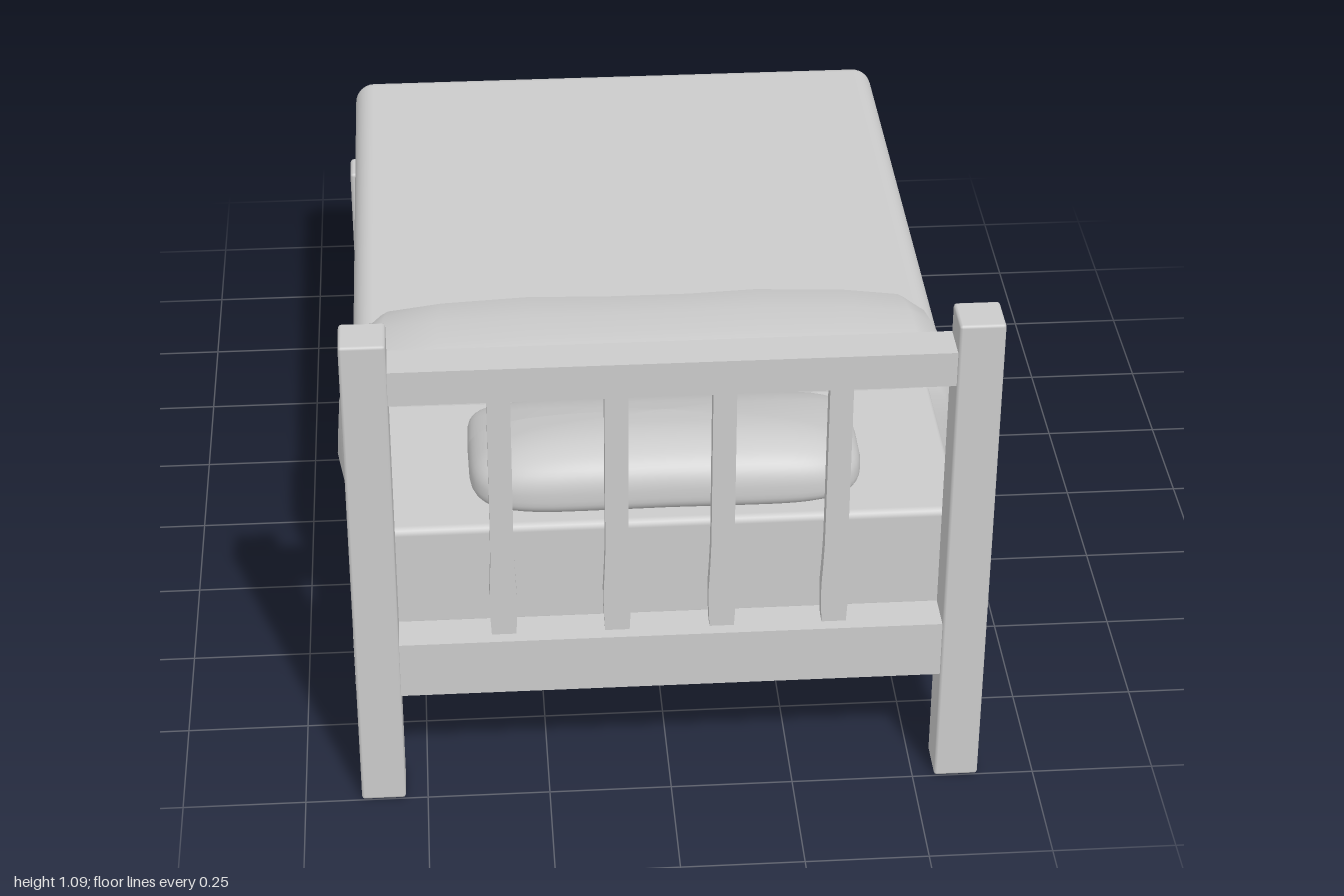
import * as THREE from 'three';
import { RoundedBoxGeometry } from 'three/addons/geometries/RoundedBoxGeometry.js';
import { toCreasedNormals } from 'three/addons/utils/BufferGeometryUtils.js';

export function createModel() {
  const bed = new THREE.Group();
  bed.name = 'bed';
  const material = new THREE.MeshStandardMaterial({ color: 0xcccccc });

  const add = (name, geometry) => {
    const mesh = new THREE.Mesh(geometry, material);
    mesh.name = name;
    bed.add(mesh);
    return mesh;
  };
  // Box given by its limits; a radius rounds the edges
  const block = (name, [x0, x1], [y0, y1], [z0, z1], radius = 0, segments = 1) => {
    const size = [x1 - x0, y1 - y0, z1 - z0];
    const geometry = radius
      ? new RoundedBoxGeometry(...size, segments, radius)
      : new THREE.BoxGeometry(...size);
    geometry.translate((x0 + x1) / 2, (y0 + y1) / 2, (z0 + z1) / 2);
    return add(name, geometry);
  };
  // Moves every vertex by a rule
  const deform = (geometry, rule) => {
    const p = geometry.attributes.position;
    const v = new THREE.Vector3();
    for (let i = 0; i < p.count; i++) {
      rule(v.fromBufferAttribute(p, i));
      p.setXYZ(i, v.x, v.y, v.z);
    }
    geometry.computeVertexNormals();
    return geometry;
  };

  // Posts, mirrored left and right
  for (const s of [-1, 1]) {
    const side = s < 0 ? 'right' : 'left';
    const span = (a, b) => (s < 0 ? [-b, -a] : [a, b]);
    block(side + 'HeadPost', span(0.545, 0.635), [0, 1.092], [0.91, 1], 0.006);
    block(side + 'FootPost', span(0.56, 0.655), [0, 0.4], [-1, -0.915], 0.008);
    block(side + 'SideRail', span(0.6, 0.637), [0.26, 0.388], [-0.95, 0.95]);
  }

  // Frame rails and the closed base
  block('headTopRail', [-0.56, 0.56], [0.955, 1.03], [0.915, 0.995]);
  block('headLowerRail', [-0.56, 0.56], [0.26, 0.386], [0.915, 0.995]);
  block('footRail', [-0.6, 0.6], [0.26, 0.388], [-0.99, -0.93]);
  block('bedBase', [-0.61, 0.61], [0.26, 0.38], [-0.94, 0.92]);

  // Headboard slats, swelling a little near the bottom
  [-0.335, -0.108, 0.102, 0.328].forEach((x, i) => {
    const slat = new THREE.BoxGeometry(0.046, 0.59, 0.03, 1, 12, 1);
    deform(slat, (v) => {
      v.x *= 1 + 0.2 * Math.exp(-(((v.y + 0.21) / 0.07) ** 2));
      v.x += x;
      v.y += 0.67;
      v.z += 0.955;
    });
    add('slat' + (i + 1), toCreasedNormals(slat, 0.6));
  });

  // Bedding
  block('mattress', [-0.585, 0.585], [0.37, 0.607], [-0.9, 0.912], 0.015, 2);
  block('blanket', [-0.632, 0.632], [0.375, 0.64], [-0.967, 0.3], 0.045, 4);

  // Folded blanket edge: arch outlines lofted along z
  const half = [
    [0.64, 0.362], [0.665, 0.375], [0.672, 0.42], [0.666, 0.5], [0.645, 0.59],
    [0.615, 0.645], [0.57, 0.672], [0.45, 0.682], [0.25, 0.688], [0.1, 0.69],
  ];
  const outline = [...half, ...half.map(([x, y]) => [-x, y]).reverse()];
  // z, sideways inset, drop of the top
  const rings = [
    [0.468, 0.08, 0.1], [0.462, 0.045, 0.06], [0.445, 0.025, 0.025], [0.41, 0.01, 0.005],
    [0.34, 0, 0], [0.25, 0, 0.003], [0.19, 0.008, 0.012], [0.145, 0.017, 0.025], [0.138, 0.04, 0.048],
  ];
  const points = [];
  const faces = [];
  const n = outline.length;
  rings.forEach(([z, inset, drop], r) => {
    const back = r / (rings.length - 1);
    outline.forEach(([x, y], i) => {
      const up = (y - 0.362) / 0.328;
      const wave = 0.012 * Math.cos(x * 10) + 0.03 * (1 - up);
      points.push(x * (1 - inset / 0.67), y - drop * up, z + back * back * (wave - 0.01 * up));
      if (r === rings.length - 1) return;
      const a = r * n + i;
      const b = r * n + ((i + 1) % n);
      faces.push(a, a + n, b, b, a + n, b + n);
    });
  });
  // End caps, triangulated from the outline
  const flat = outline.map(([x, y]) => new THREE.Vector2(x, y));
  const last = (rings.length - 1) * n;
  for (const [a, b, c] of THREE.ShapeUtils.triangulateShape(flat, [])) {
    faces.push(a, b, c, last + a, last + c, last + b);
  }
  const fold = new THREE.BufferGeometry();
  fold.setAttribute('position', new THREE.Float32BufferAttribute(points, 3));
  fold.setIndex(faces);
  add('blanketFold', toCreasedNormals(fold, 0.8));

  // Pillow: squared-off ball, thick at the headboard and thin toward the foot
  const square = (t, e) => Math.sign(t) * Math.abs(t) ** e;
  const pillow = deform(new THREE.SphereGeometry(1, 48, 32), (v) => {
    const ring = Math.hypot(v.x, v.z) || 1e-6;
    const spread = ring ** 0.5;
    const x = square(v.x / ring, 0.4) * spread;
    const z = square(v.z / ring, 0.4) * spread;
    const y = square(v.y, 0.75);
    const t = (z + 1) / 2;
    const top = 0.035 + 0.11 * Math.sin(Math.min(t / 0.85, 1) * Math.PI / 2);
    const middle = 0.612 + top * 0.35;
    v.set(x * 0.395, middle + y * top * (y > 0 ? 0.65 : 0.38) - 0.012 * x * x * t, 0.703 + z * 0.21);
  });
  add('pillow', pillow);

  return bed;
}
